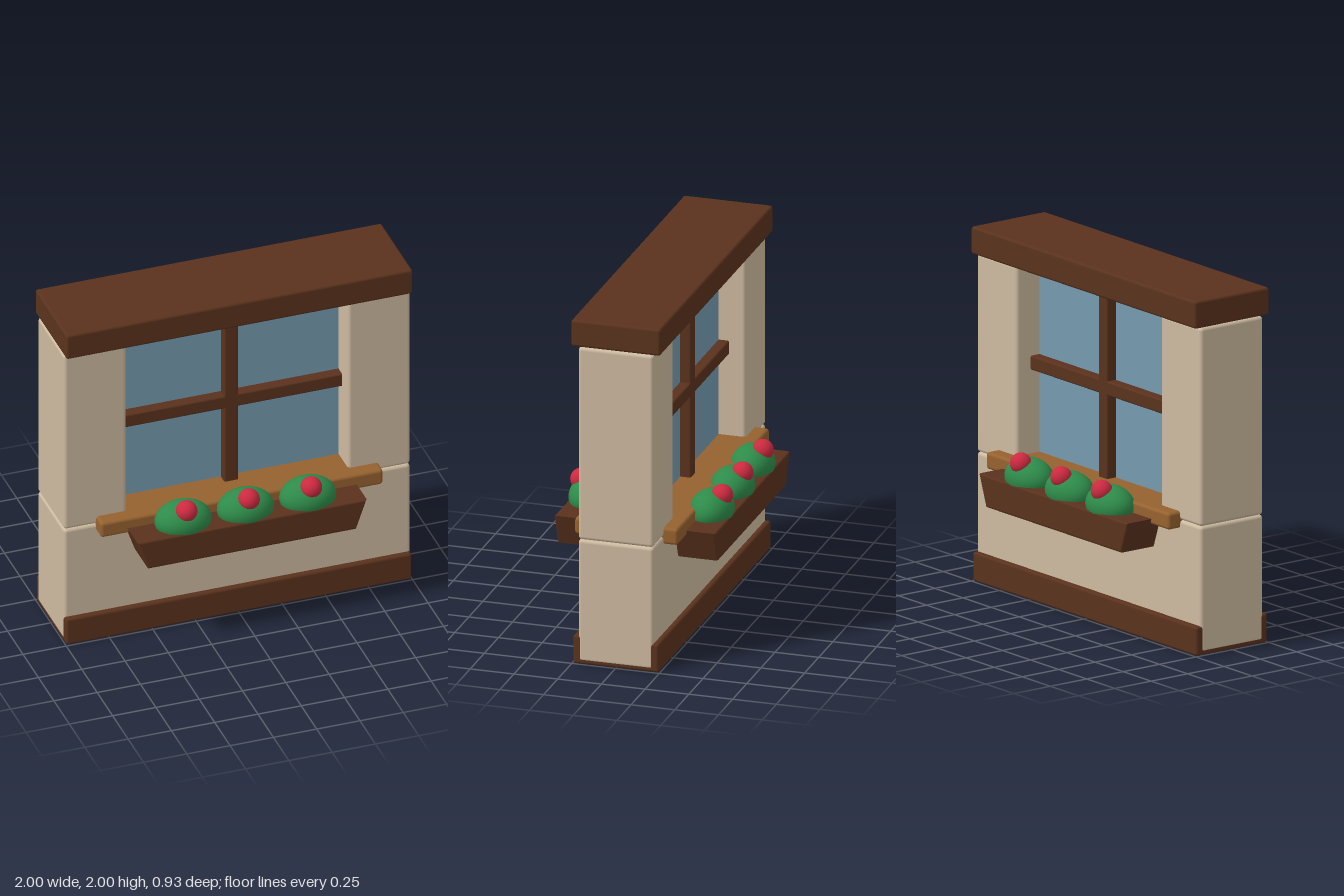
import * as THREE from 'three';
import { RoundedBoxGeometry } from 'three/addons/geometries/RoundedBoxGeometry.js';

const paint = (color) => new THREE.MeshStandardMaterial({ color });

export function createModel() {
  const model = new THREE.Group();
  const darkWood = paint(0x5a321d);
  const lightWood = paint(0x96622f);
  const plaster = paint(0xcdbaa0);
  const glass = paint(0x759bb0);
  const leaf = paint(0x2e8b4a);
  const bloom = paint(0xcc2a40);

  function add(parent, name, geometry, material, x = 0, y = 0, z = 0) {
    const mesh = new THREE.Mesh(geometry, material);
    mesh.name = name;
    mesh.position.set(x, y, z);
    parent.add(mesh);
    return mesh;
  }

  // Softly rounded block centred on z = 0, given by its x and y ranges
  function block(name, x0, x1, y0, y1, depth, radius, material) {
    const geometry = new RoundedBoxGeometry(x1 - x0, y1 - y0, depth, 3, radius);
    return add(model, name, geometry, material, (x0 + x1) / 2, (y0 + y1) / 2, 0);
  }

  // Wall, with the base board wrapped around its foot
  block('lowerWall', -1, 1, 0.015, 0.725, 0.43, 0.02, plaster);
  block('rightPillar', -1, -0.64, 0.725, 1.845, 0.43, 0.02, plaster);
  block('leftPillar', 0.64, 1, 0.725, 1.845, 0.43, 0.02, plaster);
  block('baseBoard', -0.998, 0.998, 0, 0.165, 0.49, 0.015, darkWood);
  block('topBeam', -1, 1, 1.845, 2, 0.51, 0.015, darkWood);

  // Window
  add(model, 'windowPane', new THREE.BoxGeometry(1.3, 1.06, 0.12), glass, 0, 1.27, 0);
  block('verticalBar', -0.04, 0.04, 0.74, 1.8, 0.24, 0.01, darkWood);
  block('horizontalBar', -0.65, 0.65, 1.245, 1.325, 0.24, 0.01, darkWood);
  block('windowSill', -0.815, 0.815, 0.68, 0.775, 0.59, 0.018, lightWood);

  // Planter trough: a tapered outline with a small bevel all around
  const bevel = 0.012;
  const outline = new THREE.Shape([
    new THREE.Vector2(-0.592, 0.547),
    new THREE.Vector2(0.592, 0.547),
    new THREE.Vector2(0.648, 0.703),
    new THREE.Vector2(-0.648, 0.703),
  ]);
  const troughGeometry = new THREE.ExtrudeGeometry(outline, {
    depth: 0.235 - 2 * bevel,
    bevelEnabled: true,
    bevelSize: bevel,
    bevelThickness: bevel,
    bevelSegments: 3,
  });
  const bushGeometry = new THREE.SphereGeometry(1, 32, 20).scale(0.16, 0.112, 0.12);
  const flowerGeometry = new THREE.SphereGeometry(0.06, 24, 16);

  // One flower box on each face of the wall
  for (const [name, turn] of [['frontFlowerBox', 0], ['backFlowerBox', Math.PI]]) {
    const box = new THREE.Group();
    box.name = name;
    box.rotation.y = turn;
    add(box, 'planter', troughGeometry, darkWood, 0, 0, 0.225 + bevel);
    for (const x of [-0.36, 0, 0.36]) {
      add(box, 'bush', bushGeometry, leaf, x, 0.738, 0.345);
      add(box, 'flower', flowerGeometry, bloom, x, 0.825, 0.403);
    }
    model.add(box);
  }

  return model;
}
